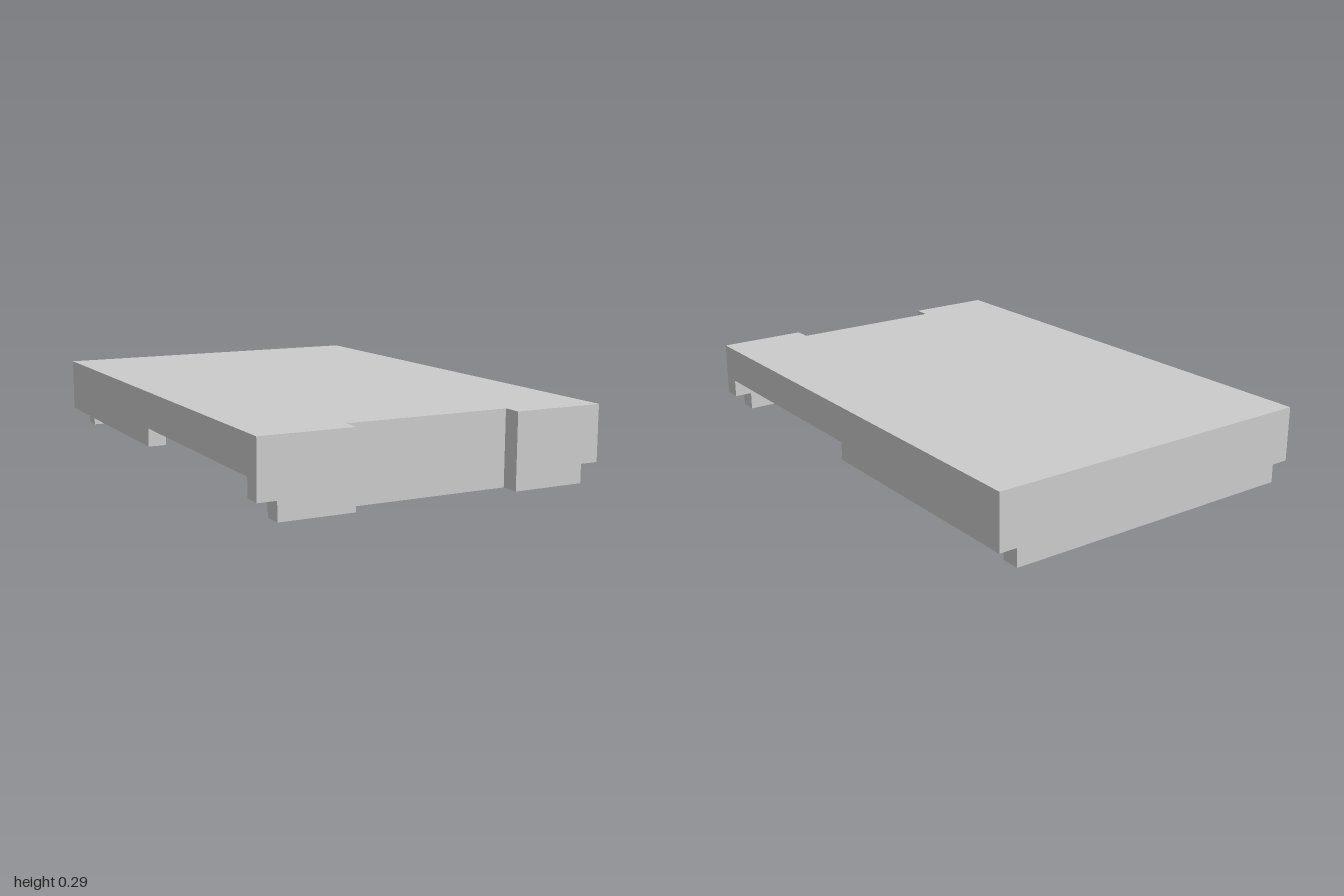
import * as THREE from 'three';

// Everything sits on a module grid: length 28, width 19, height 4, wall thickness 1
const U = 1 / 14;
const HALF_W = 9.5, HALF_L = 14, HEIGHT = 4, WALL = 1;
const UNDER = HEIGHT - WALL; // underside of the top plate
const INNER = HALF_W - WALL;

const material = new THREE.MeshStandardMaterial({ color: 0xcccccc, flatShading: true });

function extrude(points, depth) {
  const shape = new THREE.Shape(points.map(([x, y]) => new THREE.Vector2(x, y)));
  return new THREE.ExtrudeGeometry(shape, { depth, bevelEnabled: false });
}

function box(x0, x1, y0, y1, z0, z1) {
  return new THREE.BoxGeometry(x1 - x0, y1 - y0, z1 - z0)
    .translate((x0 + x1) / 2, (y0 + y1) / 2, (z0 + z1) / 2);
}

export function createModel() {
  const group = new THREE.Group();
  group.name = 'coverPanel';
  const add = (name, geometry) => {
    const mesh = new THREE.Mesh(geometry.scale(U, U, U), material);
    mesh.name = name;
    group.add(mesh);
  };

  // Top plate with a shallow cut-out in its front edge
  const plate = extrude([
    [-HALF_W, -HALF_L], [HALF_W, -HALF_L], [HALF_W, HALF_L], [4.5, HALF_L],
    [4.5, 13], [-4.5, 13], [-4.5, HALF_L], [-HALF_W, HALF_L],
  ], WALL);
  add('topPlate', plate.rotateX(Math.PI / 2).translate(0, HEIGHT, 0));

  for (const [side, s] of [['left', 1], ['right', -1]]) {
    // Side wall: profile in z and y, deeper at the back half and the front corner
    const wall = extrude([
      [-HALF_L, 1], [0, 1], [0, 2], [13, 2], [13, 1], [HALF_L, 1],
      [HALF_L, UNDER], [-HALF_L, UNDER],
    ], WALL);
    add(side + 'Wall', wall.rotateY(-Math.PI / 2).translate(s > 0 ? HALF_W : -INNER, 0, 0));

    // Front wall section beside the cut-out, reaching the ground
    const [x0, x1] = s > 0 ? [4.5, INNER] : [-INNER, -4.5];
    add(side + 'FrontWall', box(x0, x1, 0, UNDER, 13, HALF_L));
  }

  // Recessed centre of the front wall, lapping behind both front sections
  add('recessedFrontWall', box(-5.5, 5.5, 0, UNDER, 12, 13));

  // Back wall between the side walls
  add('backWall', box(-INNER, INNER, 0, UNDER, -HALF_L, -13));

  return group;
}
